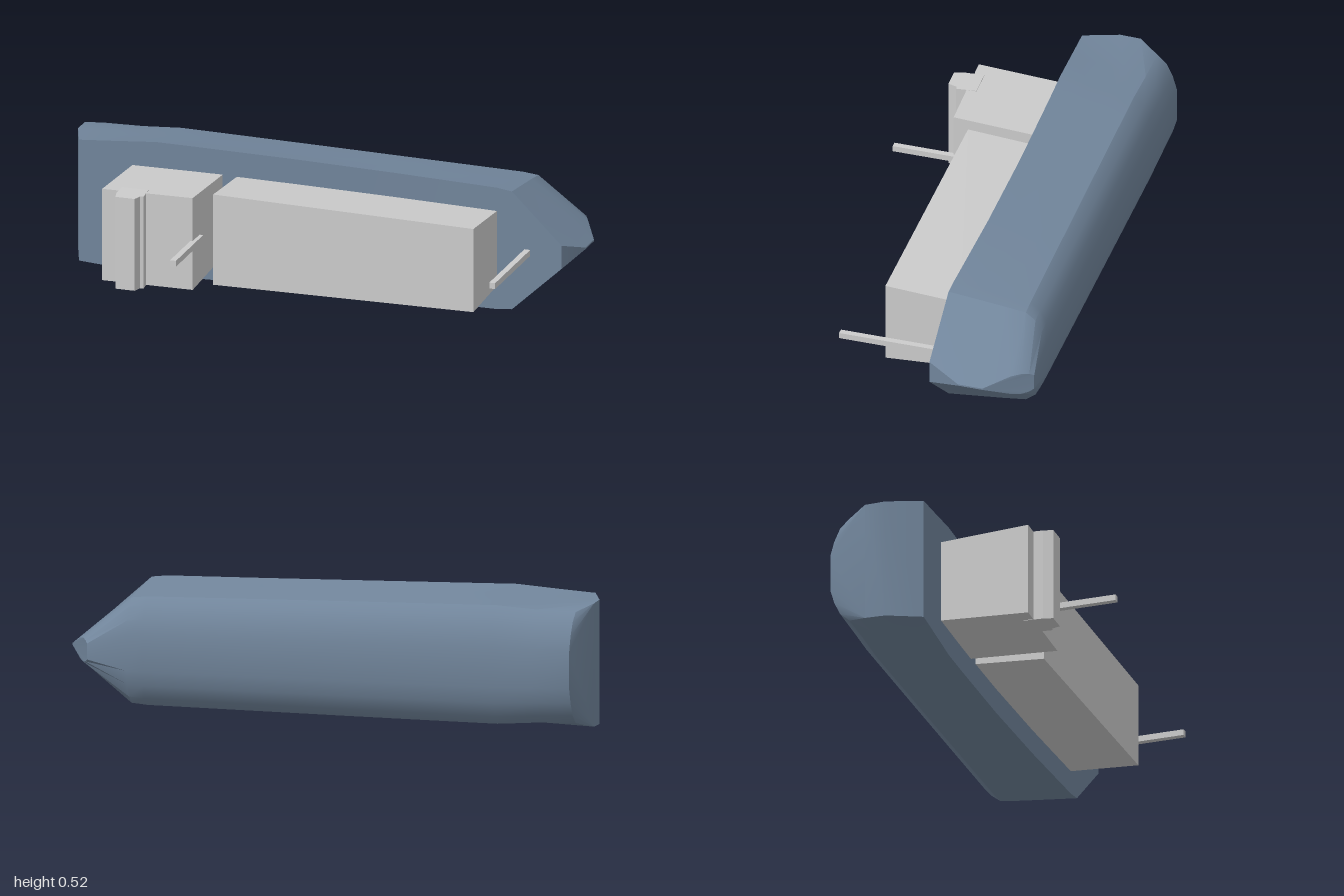
import * as THREE from 'three';
import { toCreasedNormals } from 'three/addons/utils/BufferGeometryUtils.js';

const MID = 0.26; // height of the centre line; the ship lies on its side, deck towards +z

// Stations along the length: x, half beam, deck z
const STATIONS = [
  [-0.8, 0.248, -0.1], [-0.65, 0.26, -0.103], [-0.5, 0.258, -0.106], [-0.1, 0.252, -0.11],
  [0.3, 0.245, -0.105], [0.69, 0.238, -0.092], [0.75, 0.231, -0.089],
];
// Section from deck edge to keel: beam factor, z
const SECTION = [[1, 0], [0.94, -0.22], [0.9, -0.305], [0.854, -0.388], [0.73, -0.425], [0.52, -0.449], [0.29, -0.465]];
// End outlines, level by level: x, half beam, z
const STERN = [
  [-0.95, 0.237, -0.097], [-1, 0.233, -0.23], [-1, 0.231, -0.31], [-0.95, 0.208, -0.388],
  [-0.948, 0.175, -0.425], [-0.946, 0.125, -0.449], [-0.945, 0.07, -0.465],
];
const BOW = [
  [0.95, 0.045, -0.075], [1, 0.003, -0.2], [1, 0.003, -0.295], [0.945, 0.04, -0.388],
  [0.925, 0.045, -0.425], [0.91, 0.04, -0.449], [0.9, 0.03, -0.465],
];

function hullGeometry() {
  const rows = [
    STERN,
    ...STATIONS.map(([x, half, deck]) => SECTION.map(([f, z], k) => [x, half * f, k ? z : deck])),
    BOW,
  ];
  const n = SECTION.length * 2;
  const pos = [];
  for (const row of rows) {
    for (const [x, h, z] of row) pos.push(x, MID + h, z);
    for (const [x, h, z] of [...row].reverse()) pos.push(x, MID - h, z);
  }
  const index = [];
  // Sides, bottom and (by wrapping round) deck
  for (let j = 0; j < rows.length - 1; j++) {
    for (let p = 0; p < n; p++) {
      const q = (p + 1) % n;
      const a = j * n + p, b = a + n, c = (j + 1) * n + q, d = j * n + q;
      index.push(a, b, c, a, c, d);
    }
  }
  // Transom and stem
  const cap = (base, flip) => {
    const tri = (a, b, c) => index.push(base + a, base + (flip ? c : b), base + (flip ? b : c));
    const m = n - 1;
    for (const [k, l] of [[0, 1], [1, 2], [2, 6]]) {
      tri(m - k, k, l);
      tri(m - k, l, m - l);
    }
    for (let k = 3; k < 6; k++) {
      tri(2, k, k + 1);
      tri(m - 2, m - k - 1, m - k);
    }
  };
  cap(0, false);
  cap((rows.length - 1) * n, true);
  const g = new THREE.BufferGeometry();
  g.setAttribute('position', new THREE.Float32BufferAttribute(pos, 3));
  g.setIndex(index);
  return toCreasedNormals(g.toNonIndexed(), 0.5);
}

// Box whose half width and top height vary between its ends, narrower at the deck
function taperedBlock([x0, half0, top0], [x1, half1, top1], baseScale) {
  const g = new THREE.BoxGeometry(1, 1, 1).toNonIndexed();
  const p = g.attributes.position;
  for (let i = 0; i < p.count; i++) {
    const left = p.getX(i) < 0, top = p.getZ(i) > 0;
    const half = (left ? half0 : half1) * (top ? 1 : baseScale);
    p.setXYZ(i, left ? x0 : x1, MID + Math.sign(p.getY(i)) * half, top ? (left ? top0 : top1) : -0.115);
  }
  g.computeVertexNormals();
  return g;
}

// Wheelhouse profile extruded across the beam
function wheelhouseGeometry() {
  const shape = new THREE.Shape([
    [-0.68, 0.2], [-0.675, 0.275], [-0.665, 0.312], [-0.59, 0.312], [-0.58, 0.278], [-0.567, 0.275], [-0.575, 0.2],
  ].map(([x, z]) => new THREE.Vector2(x, z)));
  const g = new THREE.ExtrudeGeometry(shape, { depth: 0.36, bevelEnabled: false });
  return g.rotateX(Math.PI / 2).translate(0, MID + 0.18, 0);
}

function mastGeometry(x, z0, z1) {
  return new THREE.BoxGeometry(0.023, 0.023, z1 - z0).translate(x, MID, (z0 + z1) / 2);
}

export function createModel() {
  const group = new THREE.Group();
  const grey = new THREE.MeshStandardMaterial({ color: 0xcccccc });
  const blue = new THREE.MeshStandardMaterial({ color: 0x71859b });
  const add = (name, geometry, material = grey) => {
    const mesh = new THREE.Mesh(geometry, material);
    mesh.name = name;
    group.add(mesh);
  };

  add('hull', hullGeometry(), blue);
  add('cargoStack', taperedBlock([-0.335, 0.177, 0.16], [0.69, 0.163, 0.173], 0.89));
  add('superstructure', taperedBlock([-0.742, 0.179, 0.24], [-0.39, 0.18, 0.232], 0.89));
  add('wheelhouse', wheelhouseGeometry());
  add('mainMast', mastGeometry(-0.387, 0.155, 0.463));
  add('foreMast', mastGeometry(0.812, -0.1, 0.312));
  return group;
}
